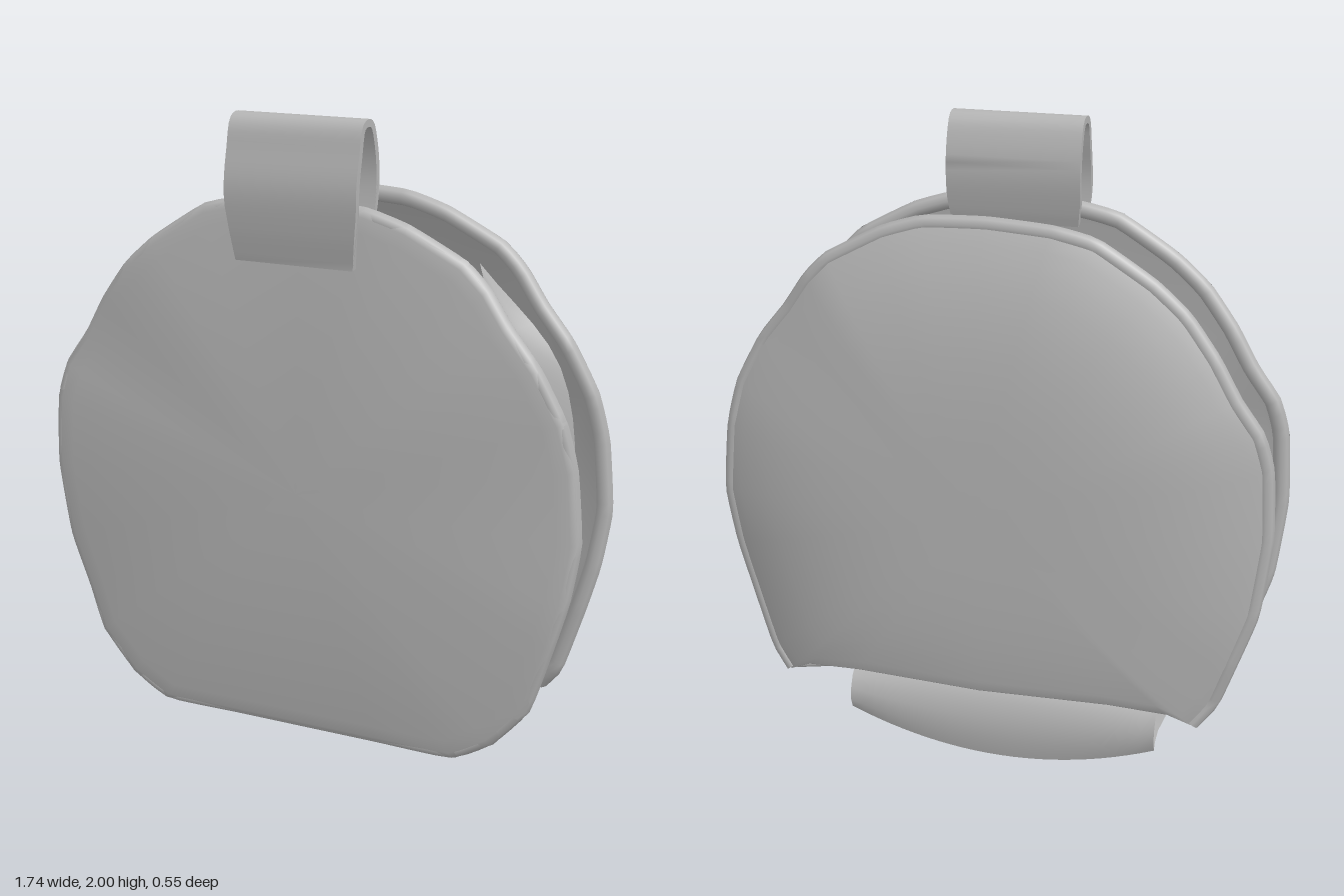
import * as THREE from 'three';
import { toCreasedNormals } from 'three/addons/utils/BufferGeometryUtils.js';

const fabric = new THREE.MeshStandardMaterial({ color: 0xb4b4b4, side: THREE.DoubleSide });
fabric.name = 'grey fabric';

const V = (x, y, z) => new THREE.Vector3(x, y, z);

function mesh(name, geometry) {
  const m = new THREE.Mesh(geometry, fabric);
  m.name = name;
  return m;
}

// smooth sheet through rows of points
function sheet(rows, closed = false) {
  const n = rows[0].length, pos = [], idx = [];
  rows.forEach(r => r.forEach(p => pos.push(p.x, p.y, p.z)));
  for (let i = 0; i < rows.length - 1; i++) {
    for (let j = 0; j < (closed ? n : n - 1); j++) {
      const k = (j + 1) % n;
      const a = i * n + j, b = i * n + k, c = a + n, d = b + n;
      idx.push(a, b, c, b, d, c);
    }
  }
  const g = new THREE.BufferGeometry();
  g.setAttribute('position', new THREE.Float32BufferAttribute(pos, 3));
  g.setIndex(idx);
  g.computeVertexNormals();
  return g;
}

function cord(name, points, radius, closed = false, segments = points.length * 3) {
  const curve = new THREE.CatmullRomCurve3(points, closed, 'catmullrom', 0.2);
  return mesh(name, new THREE.TubeGeometry(curve, segments, radius, 8, closed));
}

// slightly uneven round outline, from the lower right corner up and over to the lower left
const arc = [
  [0.73, 0.28], [0.8, 0.5], [0.84, 0.65], [0.865, 0.83], [0.845, 1.05], [0.81, 1.19], [0.73, 1.34],
  [0.64, 1.45], [0.57, 1.55], [0.5, 1.62], [0.33, 1.71], [0.2, 1.75], [0, 1.76], [-0.2, 1.75],
  [-0.33, 1.72], [-0.5, 1.61], [-0.6, 1.52], [-0.69, 1.4], [-0.76, 1.28], [-0.83, 1.18],
  [-0.86, 1.07], [-0.87, 0.85], [-0.84, 0.6], [-0.78, 0.42], [-0.73, 0.28]];
const inset = ([x, y]) => [x * 0.972, 0.9 + (y - 0.9) * 0.972];
const wave = (z, i) => z + 0.008 * Math.sin(i * 1.3);

// domed panel: laps over the piping, then shrinks towards a centre while z rises to zc
function dome(rim, zc, power, lap, wrap) {
  const cy = 0.88;
  const ring = (s, z) => rim.map(p => V(p.x * s, cy + (p.y - cy) * s, z(p.z)));
  const rows = [ring(1 + lap, z => z), ring(1 + lap * 0.7, z => z + wrap * 0.7)];
  for (const s of [1, 0.95, 0.88, 0.8, 0.7, 0.58, 0.44, 0.3, 0.15, 0.001]) {
    rows.push(ring(s, z => z + wrap + (zc - z - wrap) * (1 - s ** power)));
  }
  return sheet(rows, true);
}

// front panel with a straight bottom
function frontPanel() {
  const g = new THREE.Group();
  g.name = 'frontPanel';
  const bottom = [[-0.62, 0.15], [-0.5, 0.08], [-0.25, 0.08], [0, 0.08], [0.25, 0.08], [0.5, 0.08], [0.62, 0.15]];
  const rim = [...arc, ...bottom].map(inset).map(([x, y], i) => V(x, y, wave(0.174, i < arc.length ? i : 0)));
  g.add(mesh('frontCover', dome(rim, 0.247, 2.3, 0.03, 0.027)));
  g.add(cord('frontPiping', rim, 0.026, true, 128));
  return g;
}

// back panel, cut short with a bulging open bottom edge
function backPanel() {
  const g = new THREE.Group();
  g.name = 'backPanel';
  const side = arc.map(inset).map(([x, y], i) => V(x, y, wave(-0.138, i)));
  const open = [[-0.655, 0.225, -0.155], [-0.58, 0.265, -0.18], [-0.4, 0.29, -0.215], [0, 0.285, -0.23],
    [0.4, 0.29, -0.215], [0.58, 0.265, -0.18], [0.655, 0.225, -0.155]].map(p => V(...p));
  g.add(mesh('backCover', dome([...side, ...open], -0.273, 3.7, 0.012, -0.02)));
  g.add(cord('backPiping', [open[6], ...side, open[0]], 0.026, false, 110));
  return g;
}

// side wall between the panels, pinched in the middle; columns are front, middle, back [x, y, z]
function gusset(name, side, count) {
  const rows = [
    [[0.52, 0.11, 0.168], [0.55, 0.16, 0], [0.64, 0.24, -0.14]],
    [[0.61, 0.35, 0.168], [0.54, 0.4, -0.02], [0.7, 0.5, -0.16]],
    [[0.63, 0.8, 0.168], [0.54, 0.82, -0.02], [0.74, 0.85, -0.165]],
    [[0.62, 1.2, 0.168], [0.52, 1.22, -0.02], [0.68, 1.25, -0.16]],
    [[0.57, 1.48, 0.168], [0.5, 1.52, 0.02], [0.43, 1.55, -0.125]]].slice(0, count)
    .map(r => r.map(([x, y, z]) => V(side * x, y, z)));
  const smooth = rows.map(r => new THREE.CatmullRomCurve3(r).getPoints(8));
  const columns = smooth[0].map((_, j) => new THREE.CatmullRomCurve3(smooth.map(r => r[j])).getPoints(20));
  const g = new THREE.Group();
  g.name = name;
  g.add(mesh('gussetWall', sheet(columns)));
  g.add(cord('gussetBottomHem', [V(side * 0.51, 0.1, 0.17), V(side * 0.57, 0.17, 0), V(side * 0.65, 0.23, -0.15)], 0.014));
  return g;
}

// floor with a lip hanging at the back, and the padded roll rising behind the lip
function floorFlap() {
  const floor = [], roll = [];
  for (let i = 0; i <= 24; i++) {
    const t = i / 12 - 1, bow = t * t;
    const x = t * 0.5 - 0.04; // the back edge sits off centre
    const lip = V(x, 0.1 * bow, -0.148);
    floor.push([
      V(t * 0.52, 0.09, 0.172),
      V(t * 0.52 - 0.02, 0.125, 0.03),
      V(x, 0.1 + 0.04 * bow, -0.09),
      V(x, 0.085 + 0.04 * bow, -0.135),
      V(x, 0.045 + 0.065 * bow, -0.145),
      lip]);
    roll.push([
      lip,
      V(x, 0.06 + 0.07 * bow, -0.16),
      V(x, 0.13 + 0.04 * bow, -0.158),
      V(x, 0.19 + 0.02 * bow, -0.14),
      V(x, 0.24, -0.11),
      V(x, 0.27, -0.06)]);
  }
  const g = new THREE.Group();
  g.name = 'floorFlap';
  g.add(mesh('floor', sheet(floor)), mesh('flapRoll', sheet(roll)));
  return g;
}

// hanging loop strip, bent round an open side profile of [z, y]
function hangingLoop() {
  const path = [[0.238, 1.58], [0.255, 1.68], [0.263, 1.8], [0.243, 1.9], [0.216, 1.982], [0.165, 1.985],
    [0.133, 1.92], [0.12, 1.83], [0.135, 1.72], [0.145, 1.68]];
  const curve = new THREE.CatmullRomCurve3(path.map(([z, y]) => V(0, y, z)), false, 'centripetal');
  const half = 0.011;
  const outer = [], inner = [];
  curve.getPoints(36).forEach((p, i) => {
    const t = curve.getTangent(i / 36);
    outer.push(new THREE.Vector2(p.z + t.y * half, p.y - t.z * half));
    inner.unshift(new THREE.Vector2(p.z - t.y * half, p.y + t.z * half));
  });
  const g = new THREE.ExtrudeGeometry(new THREE.Shape([...outer, ...inner]), { depth: 0.415, bevelEnabled: false });
  g.rotateY(-Math.PI / 2); // profile z runs along +z, depth along -x
  g.translate(0.205, 0, 0);
  // narrow the lower ends a little
  const pos = g.attributes.position;
  for (let i = 0; i < pos.count; i++) {
    const k = THREE.MathUtils.clamp((1.75 - pos.getY(i)) / 0.17, 0, 1);
    pos.setX(i, pos.getX(i) * (1 - 0.1 * k));
  }
  return mesh('hangingLoop', toCreasedNormals(g, 0.8));
}

export function createModel() {
  const model = new THREE.Group();
  model.name = 'pouch';
  model.add(frontPanel(), backPanel(), floorFlap(), hangingLoop());
  model.add(gusset('leftGusset', 1, 5), gusset('rightGusset', -1, 3));

  // coiled rings stacked inside
  const coils = new THREE.Group();
  coils.name = 'coils';
  [[-0.045, 0.588], [0.045, 0.58], [0.13, 0.562]].forEach(([z, r], i) => {
    const ring = mesh('coil' + (i + 1), new THREE.TorusGeometry(r, 0.042, 12, 64));
    ring.position.set(0, 0.85, z);
    coils.add(ring);
  });
  model.add(coils);
  return model;
}
